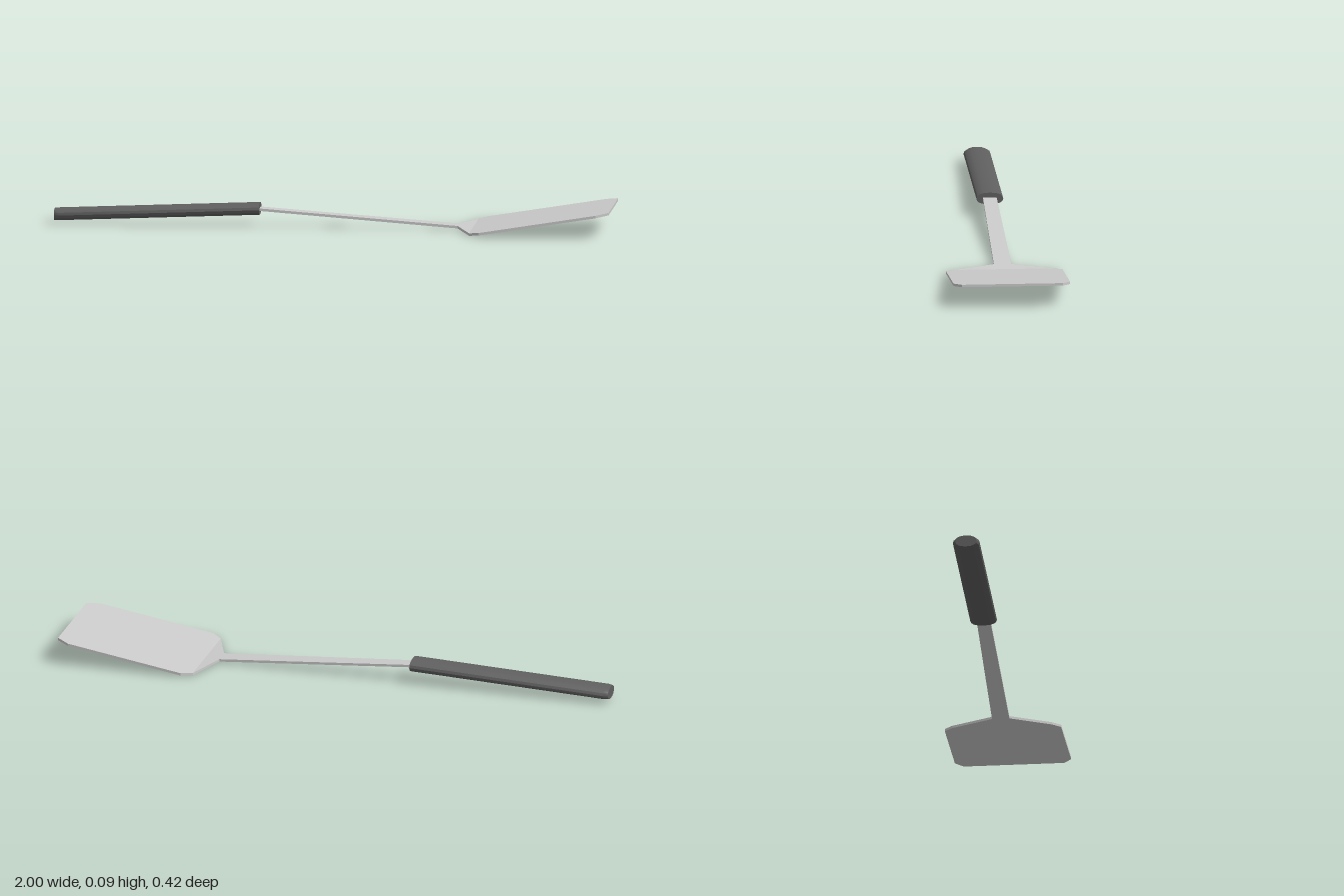
import * as THREE from 'three';
import { toCreasedNormals } from 'three/addons/utils/BufferGeometryUtils.js';

// Skin a unit profile of [z, y] points along x; each section is [x, centreY, halfWidth, halfHeight]
function loft(profile, sections, crease) {
  const n = profile.length, pos = [], idx = [];
  for (const [x, y, w, h] of sections)
    for (const [pz, py] of profile) pos.push(x, y + py * h, pz * w);
  for (let i = 0; i < sections.length - 1; i++)
    for (let j = 0; j < n; j++) {
      const a = i * n + j, c = i * n + (j + 1) % n, b = a + n, d = c + n;
      idx.push(a, b, c, b, d, c);
    }
  const last = (sections.length - 1) * n;
  for (let j = 1; j < n - 1; j++) {
    idx.push(0, j, j + 1, last, last + j + 1, last + j);
  }
  const g = new THREE.BufferGeometry();
  g.setAttribute('position', new THREE.Float32BufferAttribute(pos, 3));
  g.setIndex(idx);
  return toCreasedNormals(g, crease);
}

export function createModel() {
  const group = new THREE.Group();
  const add = (name, geometry, color) => {
    const mesh = new THREE.Mesh(geometry, new THREE.MeshStandardMaterial({ color }));
    mesh.name = name;
    group.add(mesh);
  };

  // Thin metal sheet: tapered stem, flared neck, then the upturned blade with clipped corners
  const t = 0.0045;
  const stemY = x => t + (0.5 - x) * 0.0735;
  const bladeY = x => t + (x - 0.5) * 0.162;
  const sheet = [
    [-0.3, 0.024], [0.1, 0.028], [0.445, 0.031], [0.5, 0.178],
    [0.537, 0.208], [0.955, 0.208], [1, 0.18],
  ].map(([x, w]) => [x, x <= 0.5 ? stemY(x) : bladeY(x), w, t]);
  add('stemAndBlade', loft([[1, -1], [1, 1], [-1, 1], [-1, -1]], sheet, 0.05), 0xcccccc);

  // Flattened round grip, slightly tilted, narrowed at its free end
  const grip = [];
  for (let i = 0; i < 16; i++) {
    const a = (i / 16) * Math.PI * 2, c = Math.cos(a), s = Math.sin(a);
    grip.push([Math.sign(c) * Math.abs(c) ** 0.85, Math.sign(s) * Math.abs(s) ** 0.85]);
  }
  const handle = [[-1, 0.038], [-0.983, 0.048], [-0.265, 0.048]]
    .map(([x, w]) => [x, 0.032 + (x + 1) * 0.041, w, 0.0215]);
  add('handle', loft(grip, handle, 0.6), 0x606060);

  return group;
}
